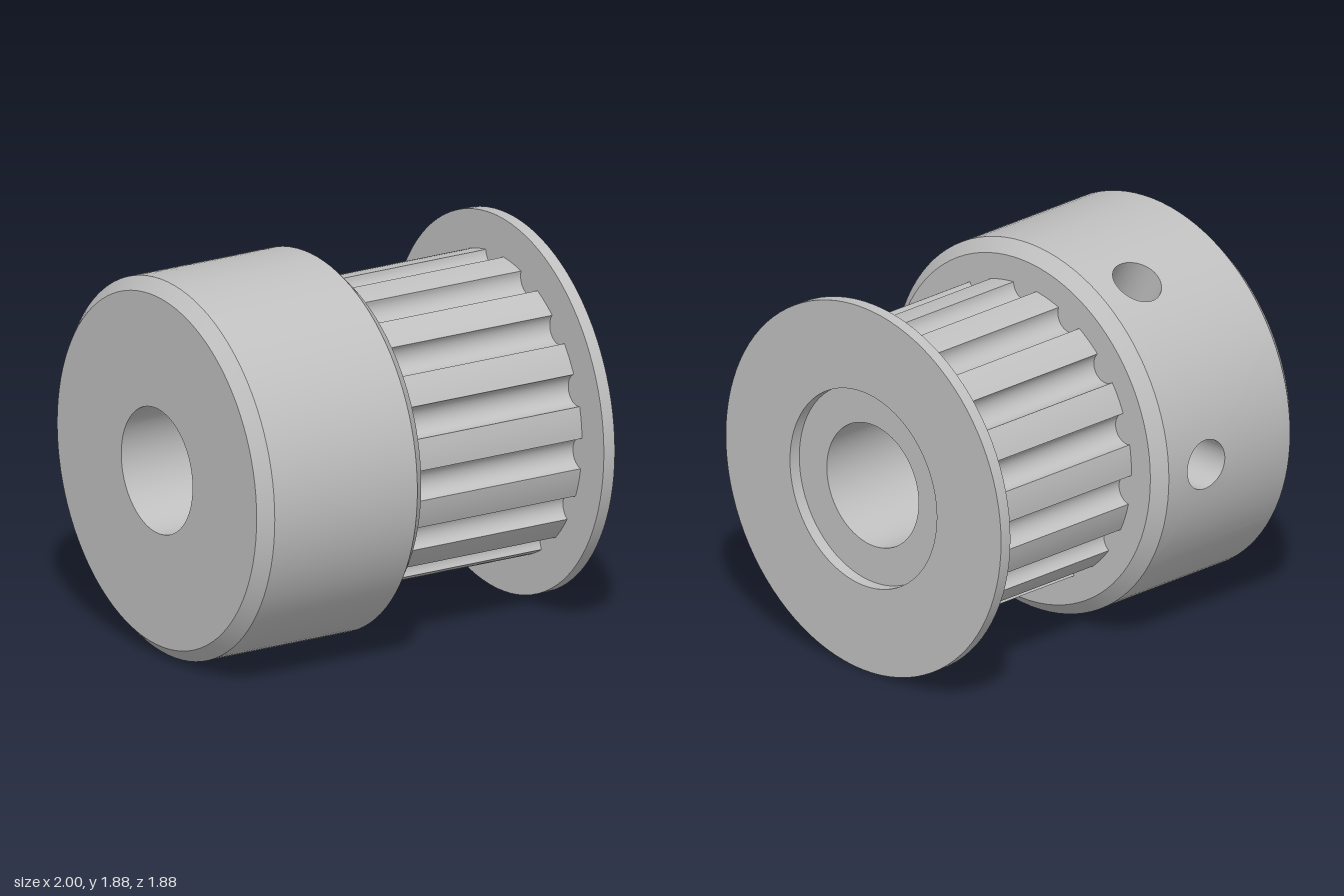
import * as THREE from 'three';
import { mergeGeometries, toCreasedNormals } from 'three/addons/utils/BufferGeometryUtils.js';
import { ParametricGeometry } from 'three/addons/geometries/ParametricGeometry.js';

const R = 0.9375;         // hub and flange radius, also the axle height
const BORE = 0.3125;
const HOLE = 0.125;       // set screw hole radius
const HOLE_X = -0.375;
const BAND = [-0.9375, -0.125];              // straight part of the hub
const HOLE_ANGLES = [Math.PI * 2 / 3, Math.PI]; // measured from +z towards +y
const CREASE = 0.6;

// Surface of revolution about the x axis; profile points are [radius, x]
function revolve(profile, segments = 96, start = 0, length = Math.PI * 2) {
  const points = profile.map(([r, x]) => new THREE.Vector2(r, x));
  return new THREE.LatheGeometry(points, segments, start, length).rotateZ(-Math.PI / 2);
}

// 60 degree patch of a cylinder wall with a round hole through it
function piercedPatch(radius, angle, inward) {
  const side = (v) => THREE.MathUtils.clamp(Math.asin(v) * 4 / Math.PI, -1, 1);
  return new ParametricGeometry((u, v, p) => {
    const t = (inward ? 1 - u : u) * Math.PI * 2;
    const sx = side(Math.cos(t)), sy = side(Math.sin(t));
    const edge = HOLE_X + sy * (sy < 0 ? HOLE_X - BAND[0] : BAND[1] - HOLE_X);
    const a = angle + THREE.MathUtils.lerp(Math.asin(HOLE * Math.cos(t) / radius), sx * Math.PI / 6, v);
    const x = THREE.MathUtils.lerp(HOLE_X + HOLE * Math.sin(t), edge, v);
    p.set(x, radius * Math.sin(a), radius * Math.cos(a));
  }, 64, 8);
}

// Wall of a set screw hole, from the hub surface down to the bore
function holeWall(angle) {
  return new ParametricGeometry((u, v, p) => {
    const t = (1 - u) * Math.PI * 2;
    const a = HOLE * Math.cos(t);
    const r = THREE.MathUtils.lerp(Math.sqrt(R * R - a * a), Math.sqrt(BORE * BORE - a * a), v);
    p.set(HOLE_X + HOLE * Math.sin(t),
      r * Math.sin(angle) + a * Math.cos(angle),
      r * Math.cos(angle) - a * Math.sin(angle));
  }, 64, 2);
}

function hubGeometry() {
  const rest = [64, -Math.PI / 2, Math.PI * 4 / 3]; // the 240 degrees without holes
  const parts = [
    revolve([[BORE, -1], [0.875, -1], [R, BAND[0]]]),
    revolve([[R, BAND[1]], [0.875, -0.0625], [0.6, -0.0625]]),
    revolve([[R, BAND[0]], [R, BAND[1]]], ...rest),
    revolve([[BORE, -0.0625], [BORE, BAND[1]]]),
    revolve([[BORE, BAND[1]], [BORE, BAND[0]]], ...rest),
    revolve([[BORE, BAND[0]], [BORE, -1]]),
  ];
  for (const angle of HOLE_ANGLES) {
    parts.push(piercedPatch(R, angle, false), piercedPatch(BORE, angle, true), holeWall(angle));
  }
  return toCreasedNormals(mergeGeometries(parts), CREASE);
}

// Toothed barrel: fifteen round grooves cut in a cylinder
function barrelGeometry() {
  const teeth = 15, outer = 0.746, groove = 0.078;
  const pitch = Math.PI * 2 / teeth;
  const half = 2 * Math.asin(groove / (2 * outer)); // half angle of a groove
  const points = [];
  for (let k = 0; k < teeth; k++) {
    const c = THREE.MathUtils.degToRad(16.4) + k * pitch;
    for (let i = 0; i <= 14; i++) {
      const a = c - THREE.MathUtils.lerp(Math.PI / 2 + half / 2, Math.PI * 1.5 - half / 2, i / 14);
      points.push(new THREE.Vector2(
        outer * Math.cos(c) + groove * Math.cos(a),
        outer * Math.sin(c) + groove * Math.sin(a)));
    }
    for (let i = 1; i < 5; i++) {
      const a = THREE.MathUtils.lerp(c + half, c + pitch - half, i / 5);
      points.push(new THREE.Vector2(outer * Math.cos(a), outer * Math.sin(a)));
    }
  }
  const shape = new THREE.Shape(points);
  shape.holes.push(new THREE.Path().absarc(0, 0, BORE, 0, Math.PI * 2, true));
  const geometry = new THREE.ExtrudeGeometry(shape, { depth: 1, bevelEnabled: false, curveSegments: 96 });
  geometry.rotateY(Math.PI / 2).translate(-0.0625, 0, 0);
  return toCreasedNormals(geometry, CREASE);
}

// Thin end flange; its wide opening leaves a shallow recess around the bore
function flangeGeometry() {
  const profile = [[0.5, 0.9375], [R, 0.9375], [R, 1], [0.5, 1], [0.5, 0.9375]];
  return toCreasedNormals(revolve(profile), CREASE);
}

export function createModel() {
  const metal = new THREE.MeshStandardMaterial({ color: 0xc0c0c0 });
  metal.name = 'greyMetal';
  const group = new THREE.Group();
  group.name = 'timingPulley';
  const parts = { hub: hubGeometry(), toothedBarrel: barrelGeometry(), endFlange: flangeGeometry() };
  for (const [name, geometry] of Object.entries(parts)) {
    const mesh = new THREE.Mesh(geometry, metal);
    mesh.name = name;
    mesh.position.y = R;
    group.add(mesh);
  }
  return group;
}
